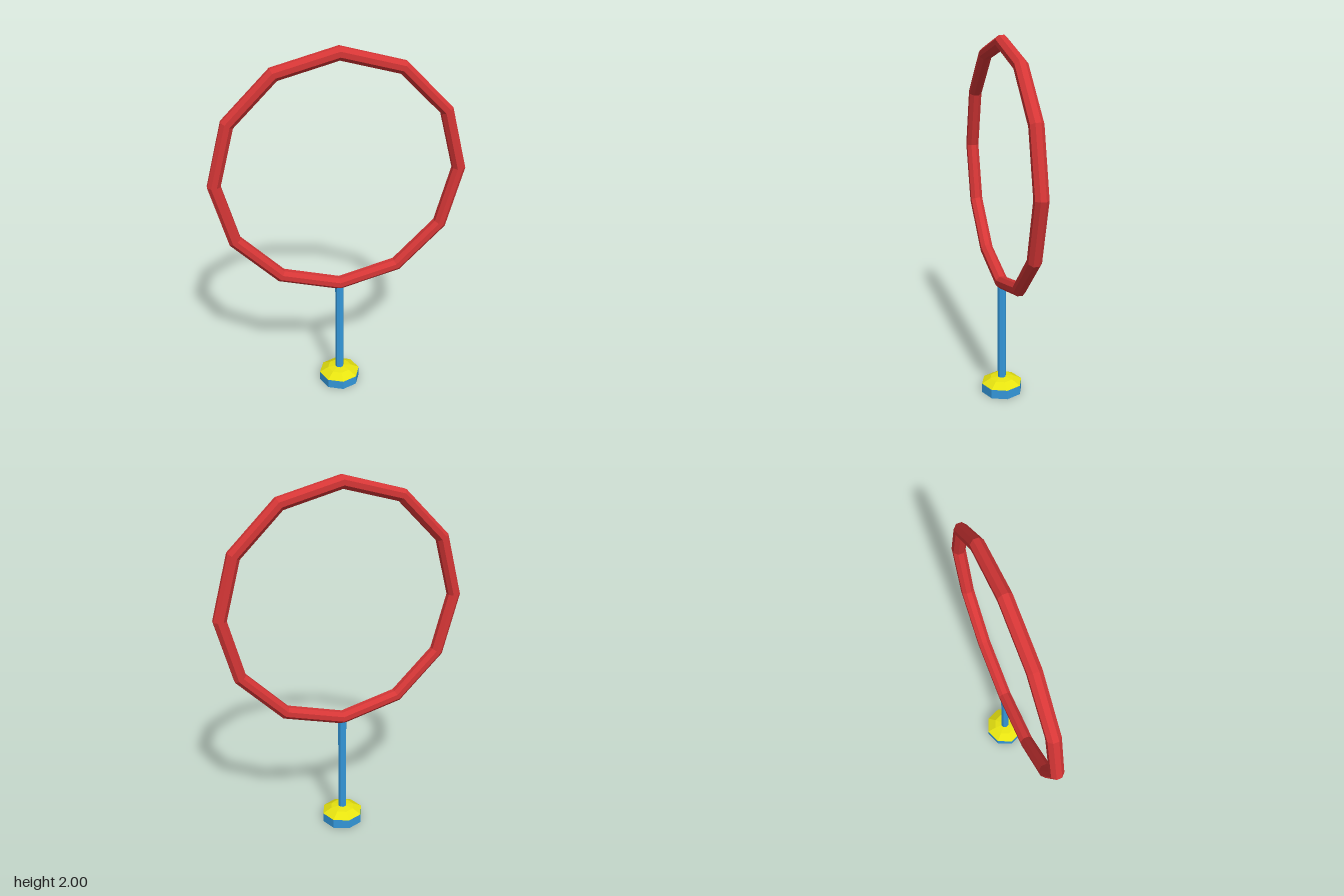
import * as THREE from 'three';

const mat = (name, color) => {
  const m = new THREE.MeshStandardMaterial({ color });
  m.name = name;
  return m;
};

export function createModel() {
  const group = new THREE.Group();
  group.name = 'hoopOnStand';
  const red = mat('red', 0xd63636);
  const blue = mat('blue', 0x3498db);
  const yellow = mat('yellow', 0xe8e410);
  const brown = mat('brown', 0x9a6a1e);

  // Adds a mesh with hard facets
  const add = (name, geometry, material, y) => {
    const faceted = geometry.toNonIndexed();
    faceted.computeVertexNormals();
    const mesh = new THREE.Mesh(faceted, material);
    mesh.name = name;
    mesh.position.y = y;
    group.add(mesh);
    return mesh;
  };

  // Hoop: an eight-sided section swept around twelve straight segments
  const section = [];
  for (let i = 0; i <= 8; i++) {
    const a = ((i % 8) + 0.5) * Math.PI / 4;
    section.push(new THREE.Vector2(0.649 + 0.037 * Math.cos(a), 0.037 * Math.sin(a)));
  }
  add('hoop', new THREE.LatheGeometry(section, 12).rotateX(Math.PI / 2), red, 1.317);

  // Pole between base and hoop
  add('pole', new THREE.CylinderGeometry(0.024, 0.024, 0.6, 8, 1, true), blue, 0.35);

  // Octagonal base: rim, shallow dome and underside
  add('baseRim', new THREE.CylinderGeometry(0.118, 0.118, 0.054, 8, 1, true), blue, 0.027);
  const dome = [[0.118, 0.054], [0.068, 0.081], [0, 0.091]].map(([r, y]) => new THREE.Vector2(r, y));
  add('baseDome', new THREE.LatheGeometry(dome, 8), yellow, 0);
  const underside = new THREE.CircleGeometry(0.118, 8).rotateX(Math.PI / 2);
  add('baseUnderside', underside, brown, 0);

  return group;
}
